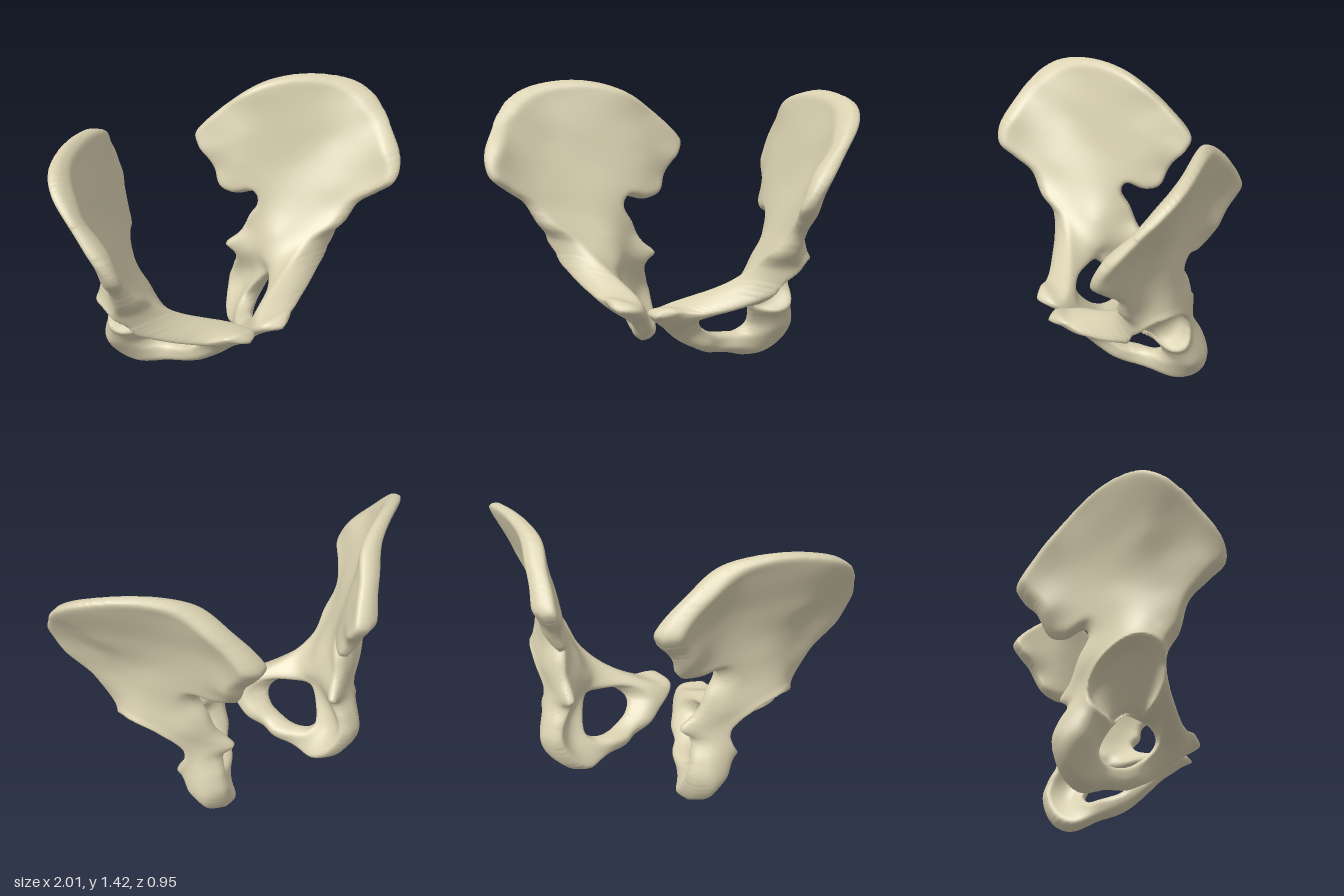
import * as THREE from 'three';

// Side outline of a hip bone and of the opening low in it, as [z, y]
const outlinePts = [
  [-0.07, 1.422], [0.06, 1.397], [0.17, 1.337], [0.32, 1.2], [0.46, 1.035], [0.474, 0.94], [0.4, 0.865], [0.315, 0.785],
  [0.285, 0.67], [0.235, 0.585], [0.255, 0.48], [0.36, 0.378], [0.44, 0.378], [0.476, 0.335], [0.41, 0.29],
  [0.32, 0.225], [0.21, 0.125], [0.1, 0.06], [0, 0.04], [-0.14, 0], [-0.235, 0.06], [-0.284, 0.21], [-0.255, 0.31],
  [-0.212, 0.4], [-0.245, 0.46], [-0.2, 0.53], [-0.165, 0.64], [-0.12, 0.74], [-0.145, 0.785], [-0.22, 0.765],
  [-0.3, 0.79], [-0.38, 0.93], [-0.44, 1.0], [-0.476, 1.07], [-0.38, 1.22], [-0.28, 1.325], [-0.18, 1.397],
];
const openingPts = [
  [0.235, 0.305], [0.215, 0.345], [0.13, 0.356], [0.06, 0.35], [-0.015, 0.275], [-0.058, 0.19],
  [-0.04, 0.157], [0.03, 0.158], [0.1, 0.175], [0.17, 0.225],
];

// Surface guides as [z, y, inner x, outer x]: wing and crest
const wing = [
  [0.45, 1.0, 0.86, 0.94], [0.38, 0.91, 0.81, 0.9], [0.3, 0.75, 0.7, 0.8], [0.39, 1.09, 0.87, 0.98],
  [0.28, 1.2, 0.91, 1.0], [0.2, 1.26, 0.89, 1.0], [0.12, 1.31, 0.86, 0.975], [0.04, 1.35, 0.8, 0.92],
  [-0.07, 1.38, 0.66, 0.79], [-0.2, 1.34, 0.47, 0.61], [-0.31, 1.24, 0.38, 0.51], [-0.4, 1.16, 0.3, 0.44],
  [-0.45, 1.06, 0.25, 0.4], [-0.4, 0.99, 0.25, 0.4], [-0.33, 0.89, 0.3, 0.42], [-0.28, 0.82, 0.3, 0.4],
  [-0.15, 0.8, 0.38, 0.5], [0.22, 1.02, 0.79, 0.84], [0, 1.15, 0.665, 0.73], [0.2, 1.16, 0.85, 0.92],
  [0.1, 1.1, 0.76, 0.82], [-0.1, 1.12, 0.53, 0.6], [0, 0.95, 0.59, 0.65], [0, 0.84, 0.53, 0.65],
  [0.2, 0.85, 0.69, 0.77], [-0.2, 1.1, 0.41, 0.51], [-0.2, 0.95, 0.37, 0.48], [-0.33, 1.08, 0.32, 0.44],
];
// Neck, socket block, pubis and seat bone
const lower = [
  [0, 0.72, 0.47, 0.66], [-0.1, 0.69, 0.41, 0.55], [0.17, 0.68, 0.57, 0.74], [0.2, 0.58, 0.5, 0.73],
  [0.05, 0.6, 0.42, 0.73], [-0.15, 0.57, 0.38, 0.52], [0.18, 0.47, 0.36, 0.65], [0.05, 0.45, 0.36, 0.66],
  [-0.1, 0.45, 0.36, 0.58], [-0.23, 0.46, 0.29, 0.37], [0.05, 0.37, 0.37, 0.57], [-0.1, 0.3, 0.39, 0.56],
  [0.25, 0.41, 0.21, 0.54], [0.3, 0.37, 0.1, 0.44], [0.27, 0.3, 0.07, 0.26], [0.36, 0.33, 0.03, 0.3],
  [0.41, 0.35, 0.03, 0.22], [0.45, 0.34, 0.06, 0.18], [0.28, 0.23, 0.04, 0.18], [0.2, 0.18, 0.07, 0.19],
  [0.15, 0.11, 0.13, 0.23], [0.08, 0.13, 0.13, 0.26], [0, 0.08, 0.19, 0.32], [0, 0.14, 0.175, 0.31],
  [-0.14, 0.04, 0.25, 0.42], [-0.25, 0.14, 0.32, 0.5], [-0.14, 0.19, 0.36, 0.54], [-0.25, 0.27, 0.36, 0.49],
  [-0.2, 0.38, 0.34, 0.48],
];
const guides = [...wing, ...lower];

// Smooth thin-plate surface through one column of the guides
function fitSurface(column) {
  const n = guides.length, size = n + 3;
  const kernel = (dz, dy) => { const q = dz * dz + dy * dy; return q > 1e-12 ? 0.5 * q * Math.log(q) : 0; };
  const rows = Array.from({ length: size }, () => new Array(size + 1).fill(0));
  guides.forEach((g, i) => {
    guides.forEach((h, j) => { rows[i][j] = kernel(g[0] - h[0], g[1] - h[1]); });
    rows[i][i] += 0.0005;
    [1, g[0], g[1]].forEach((v, k) => { rows[i][n + k] = rows[n + k][i] = v; });
    rows[i][size] = g[column];
  });
  for (let c = 0; c < size; c++) {
    let p = c;
    for (let r = c + 1; r < size; r++) if (Math.abs(rows[r][c]) > Math.abs(rows[p][c])) p = r;
    [rows[c], rows[p]] = [rows[p], rows[c]];
    for (let r = 0; r < size; r++) {
      if (r === c) continue;
      const f = rows[r][c] / rows[c][c];
      for (let k = c; k <= size; k++) rows[r][k] -= f * rows[c][k];
    }
  }
  const w = rows.map((row, i) => row[size] / row[i]);
  return (z, y) => guides.reduce((sum, g, i) => sum + w[i] * kernel(z - g[0], y - g[1]),
    w[n] + w[n + 1] * z + w[n + 2] * y);
}

const smoothLoop = (pts, count) => new THREE.CatmullRomCurve3(
  pts.map(([z, y]) => new THREE.Vector3(z, y, 0)), true, 'centripetal').getPoints(count);

function insideLoop(loop, z, y) {
  let inside = false;
  for (let i = 1; i < loop.length; i++) {
    const a = loop[i - 1], b = loop[i];
    if ((a.y > y) !== (b.y > y) && z < a.x + (b.x - a.x) * (y - a.y) / (b.y - a.y)) inside = !inside;
  }
  return inside;
}

// Nearest border point and its distance
function nearestOnLoops(loops, z, y) {
  let best = { d: Infinity, z, y };
  for (const loop of loops) {
    for (let i = 1; i < loop.length; i++) {
      const a = loop[i - 1], ex = loop[i].x - a.x, ey = loop[i].y - a.y;
      const t = THREE.MathUtils.clamp(((z - a.x) * ex + (y - a.y) * ey) / (ex * ex + ey * ey || 1), 0, 1);
      const pz = a.x + t * ex, py = a.y + t * ey, d = Math.hypot(z - pz, y - py);
      if (d < best.d) best = { d, z: pz, y: py };
    }
  }
  return best;
}

// Hip socket: a tilted elliptical bowl pressed into the outer face
function socketDepth(z, y) {
  const dz = z - 0.043, dy = y - 0.452;
  const q = Math.hypot((0.8 * dz + 0.6 * dy) / 0.18, (0.8 * dy - 0.6 * dz) / 0.145);
  const lip = 0.012 * Math.exp(-(((q - 1.06) / 0.12) ** 2));
  return (q < 1 ? 0.17 * Math.sqrt(1 - q * q) : 0) - lip;
}

// Moves vertices towards the average of their neighbours; rim vertices slide in x only
function relax(positions, index, rim, passes) {
  for (let pass = 0; pass < passes; pass++) {
    const sum = new Float32Array(positions.length), count = new Float32Array(positions.length / 3);
    index.forEach((a, i) => {
      const b = index[i % 3 === 2 ? i - 2 : i + 1];
      for (let k = 0; k < 3; k++) {
        sum[a * 3 + k] += positions[b * 3 + k];
        sum[b * 3 + k] += positions[a * 3 + k];
      }
      count[a]++;
      count[b]++;
    });
    sum.forEach((s, i) => {
      const v = Math.floor(i / 3);
      if (i % 3 === 0 || !rim.has(v)) positions[i] += 0.5 * (s / count[v] - positions[i]);
    });
  }
}

// Two sheets over the side outline, rounded together at every border
function hipBoneGeometry() {
  const loops = [smoothLoop(outlinePts, 220), smoothLoop(openingPts, 80)];
  const innerAt = fitSurface(2), outerAt = fitSurface(3);
  const step = 0.008, z0 = -0.5, y0 = -0.02, nz = 125, ny = 184, edge = 0.045;
  const kept = (i, j) => {
    const z = z0 + (i + 0.5) * step, y = y0 + (j + 0.5) * step;
    return insideLoop(loops[0], z, y) && !insideLoop(loops[1], z, y);
  };
  const cells = Array.from({ length: nz }, (_, i) => Array.from({ length: ny }, (_, j) => kept(i, j)));
  const has = (i, j) => Boolean(cells[i] && cells[i][j]);
  const positions = [], index = [], made = new Map(), rim = new Set();
  const add = (x, y, z) => positions.push(x, y, z) / 3 - 1;

  const corner = (i, j) => {
    const key = i * 1000 + j;
    if (made.has(key)) return made.get(key);
    let z = z0 + i * step, y = y0 + j * step, pair;
    const near = nearestOnLoops(loops, z, y);
    const border = !(has(i, j) && has(i - 1, j) && has(i, j - 1) && has(i - 1, j - 1));
    if (border) ({ z, y } = near);
    const inner = innerAt(z, y), outer = Math.max(outerAt(z, y), inner + 0.04), mid = (inner + outer) / 2;
    if (border) {
      const v = add(mid, y, z);
      rim.add(v);
      pair = [v, v];
    } else {
      const t = Math.min(1, near.d / edge), half = (outer - inner) / 2 * (t * (2 - t)) ** 0.45;
      const dished = Math.max(mid + half - socketDepth(z, y), mid - half + 0.04 * t);
      pair = [add(mid - half, y, z), add(dished, y, z)];
    }
    made.set(key, pair);
    return pair;
  };

  for (let i = 0; i < nz; i++) {
    for (let j = 0; j < ny; j++) {
      if (!has(i, j)) continue;
      const a = corner(i, j), b = corner(i + 1, j), c = corner(i + 1, j + 1), d = corner(i, j + 1);
      index.push(a[1], d[1], c[1], a[1], c[1], b[1]);
      index.push(a[0], c[0], d[0], a[0], b[0], c[0]);
    }
  }
  relax(positions, index, rim, 3);
  const geometry = new THREE.BufferGeometry().setIndex(index);
  geometry.setAttribute('position', new THREE.Float32BufferAttribute(positions, 3));
  geometry.computeVertexNormals();
  return geometry;
}

function mirrored(geometry) {
  const copy = geometry.clone().scale(-1, 1, 1);
  copy.setIndex(Array.from(geometry.index.array).reverse());
  copy.computeVertexNormals();
  return copy;
}

export function createModel() {
  const group = new THREE.Group();
  group.name = 'pelvis';
  const bone = new THREE.MeshStandardMaterial({ color: 0xd9d0b0 });
  const left = hipBoneGeometry();
  [['leftHipBone', left], ['rightHipBone', mirrored(left)]].forEach(([name, geometry]) => {
    const mesh = new THREE.Mesh(geometry, bone);
    mesh.name = name;
    group.add(mesh);
  });
  return group;
}
